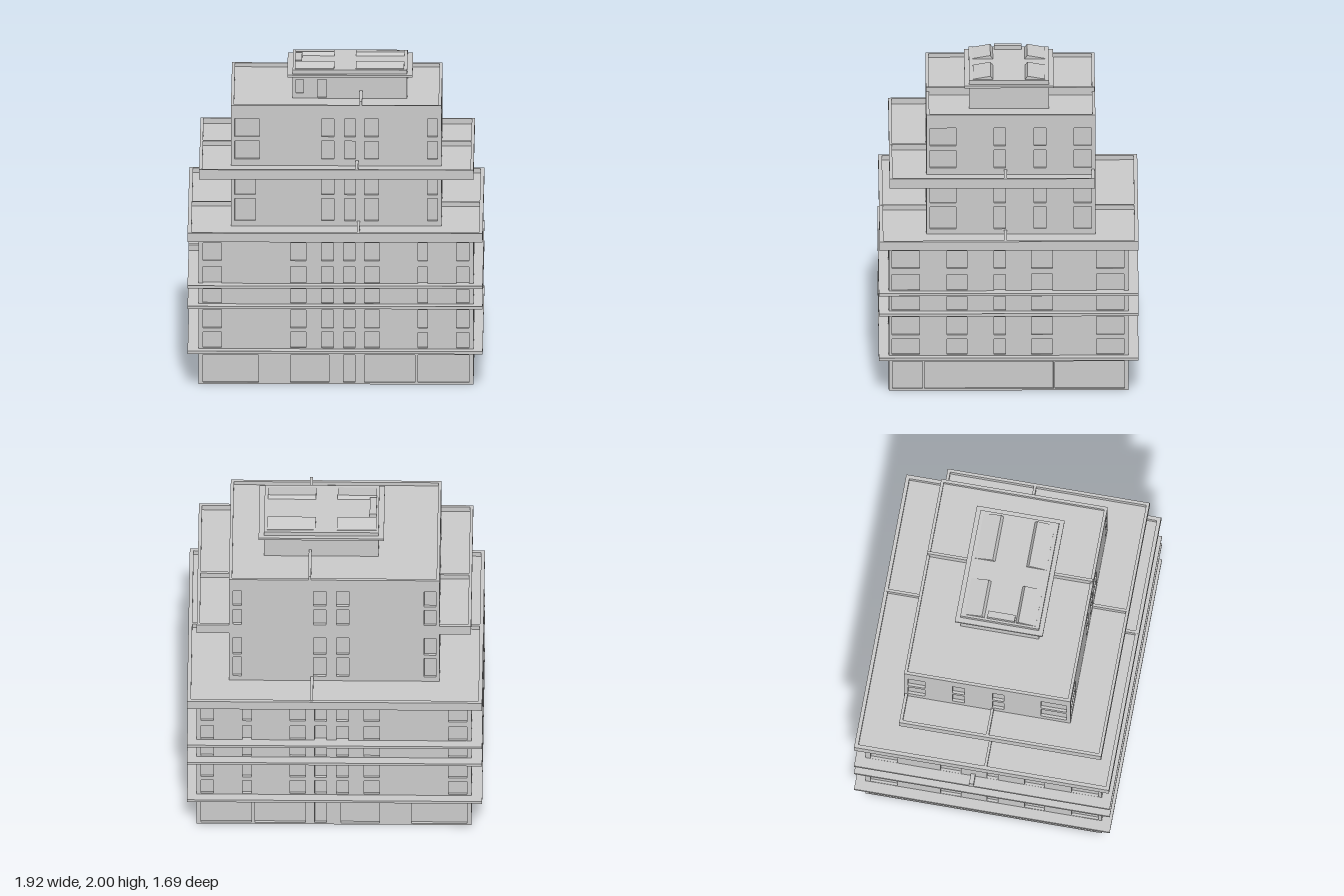
import * as THREE from 'three';

const grey = new THREE.MeshStandardMaterial({ color: 0xcccccc, flatShading: true });
const T = 0.018; // depth of window recesses

function add(parent, name, geometry) {
  const mesh = new THREE.Mesh(geometry, grey);
  mesh.name = name;
  parent.add(mesh);
  return mesh;
}

// Box given by its extents
function box(parent, name, [x0, x1], [y0, y1], [z0, z1]) {
  const mesh = add(parent, name, new THREE.BoxGeometry(x1 - x0, y1 - y0, z1 - z0));
  mesh.position.set((x0 + x1) / 2, (y0 + y1) / 2, (z0 + z1) / 2);
  return mesh;
}

function trace(path, a0, a1, b0, b1) {
  path.moveTo(a0, b0);
  path.lineTo(a1, b0);
  path.lineTo(a1, b1);
  path.lineTo(a0, b1);
  path.closePath();
  return path;
}

// Rectangular rim running around an area
function rim(parent, name, [x0, x1], [y0, y1], [z0, z1], w) {
  const shape = trace(new THREE.Shape(), x0, x1, -z1, -z0);
  shape.holes.push(trace(new THREE.Path(), x0 + w, x1 - w, -z1 + w, -z0 - w));
  const geometry = new THREE.ExtrudeGeometry(shape, { depth: y1 - y0, bevelEnabled: false });
  geometry.rotateX(-Math.PI / 2);
  add(parent, name, geometry).position.y = y0;
}

// Slab with a raised parapet
function terrace(parent, name, xs, [y0, floor, y1], zs, w) {
  const group = new THREE.Group();
  group.name = name;
  box(group, 'terraceFloor', xs, [y0, floor], zs);
  rim(group, 'parapet', xs, [floor, y1], zs, w);
  parent.add(group);
}

// Wall with openings; openings are [u0, u1, y0, y1] in x (front, back) or z (sides)
function wall(parent, side, [x0, x1], [y0, y1], [z0, z1], openings) {
  const along = side === 'front' || side === 'back';
  const sign = side === 'front' || side === 'left' ? 1 : -1;
  const flip = side === 'front' || side === 'right' ? 1 : -1;
  // local u equals x on the front, -x on the back, -z at +x and z at -x
  const s = { front: 1, back: -1, left: -1, right: 1 }[side];
  const [a, b] = along ? [x0, x1] : [z0 + T, z1 - T];
  const span = (p, q) => [Math.min(s * p, s * q), Math.max(s * p, s * q)];
  const shape = trace(new THREE.Shape(), ...span(a, b), y0, y1);
  for (const [p, q, h0, h1] of openings) shape.holes.push(trace(new THREE.Path(), ...span(p, q), h0, h1));
  const mesh = add(parent, side + 'Wall', new THREE.ExtrudeGeometry(shape, { depth: T, bevelEnabled: false }));
  mesh.rotation.y = { front: 0, back: Math.PI, left: Math.PI / 2, right: -Math.PI / 2 }[side];
  if (along) mesh.position.z = sign > 0 ? z1 - T : z0 + T;
  else mesh.position.x = flip < 0 ? x1 - T : x0 + T;
}

const grid = (columns, rows) => columns.flatMap(c => rows.map(r => [...c, ...r]));

// Storey block: solid core clad with four pierced walls
function block(parent, name, xs, ys, zs, openings) {
  const group = new THREE.Group();
  group.name = name;
  box(group, 'core', [xs[0] + T, xs[1] - T], ys, [zs[0] + T, zs[1] - T]);
  for (const side of ['front', 'back', 'left', 'right']) wall(group, side, xs, ys, zs, openings[side]);
  parent.add(group);
}

export function createModel() {
  const model = new THREE.Group();
  model.name = 'building';

  // Lower block with shopfronts and five rows of windows
  const shop = [[0.012, 0.197]];
  const lowRows = [[0.245, 0.35], [0.378, 0.5], [0.545, 0.64], [0.68, 0.79], [0.83, 0.95]];
  const lowFront = grid([[-0.86, -0.74], [-0.29, -0.19], [-0.09, -0.01], [0.055, 0.13],
    [0.19, 0.29], [0.54, 0.6], [0.79, 0.87]], lowRows);
  const lowSide = grid([[0.58, 0.76], [0.27, 0.4], [0.02, 0.095], [-0.285, -0.15], [-0.75, -0.57]], lowRows);
  const shopFront = grid([[-0.86, -0.5], [-0.29, -0.04], [0.055, 0.13], [0.19, 0.52], [0.54, 0.87]], shop);
  const shopSide = grid([[0.56, 0.755], [-0.29, 0.548], [-0.755, -0.302]], shop);
  block(model, 'lowerBlock', [-0.89, 0.9], [0, 0.98], [-0.78, 0.78], {
    front: [...shopFront, ...lowFront], back: [...shopFront, ...lowFront],
    left: [...shopSide, ...lowSide], right: [...shopSide, ...lowSide],
  });

  // Thin ledges between the lower storeys
  for (const y of [0.22, 0.522, 0.66]) box(model, 'ledge', [-0.96, 0.96], [y, y + 0.018], [-0.845, 0.845]);
  box(model, 'ledgeDivider', [-0.96, -0.88], [0.67, 0.715], [-0.085, -0.055]);

  // Main terrace, and balcony around three sides
  terrace(model, 'mainTerrace', [-0.96, 0.96], [0.97, 1.0, 1.03], [-0.845, 0.84], 0.025);
  terrace(model, 'balcony', [-0.885, 0.9], [1.375, 1.405, 1.44], [-0.56, 0.775], 0.02);

  // Upper block with four rows of windows
  const upRows = [[1.035, 1.185], [1.21, 1.345], [1.45, 1.57], [1.6, 1.72]];
  const upSide = grid([[0.34, 0.51], [0.02, 0.095], [-0.245, -0.165], [-0.54, -0.425]], upRows);
  block(model, 'upperBlock', [-0.68, 0.69], [0.99, 1.775], [-0.565, 0.535], {
    front: [...grid([[-0.655, -0.52]], upRows.slice(0, 2)), ...grid([[-0.655, -0.495]], upRows.slice(2)),
      ...grid([[-0.09, -0.01], [0.06, 0.13], [0.19, 0.28], [0.6, 0.665]], upRows)],
    back: grid([[-0.655, -0.58], [-0.09, -0.01], [0.06, 0.14], [0.61, 0.665]], upRows),
    left: upSide, right: upSide,
  });
  terrace(model, 'roofTerrace', [-0.68, 0.69], [1.77, 1.785, 1.81], [-0.565, 0.535], 0.02);

  // Low divider walls on the terraces
  const d = 0.009;
  const across = (x, ys, zs) => box(model, 'terraceDivider', [x - d, x + d], ys, zs);
  const along = (xs, ys, z) => box(model, 'terraceDivider', xs, ys, [z - d, z + d]);
  across(0.15, [0.99, 1.032], [0.52, 0.83]);
  across(0.15, [0.99, 1.032], [-0.83, -0.55]);
  along([-0.94, -0.67], [0.99, 1.028], 0.02);
  along([0.68, 0.94], [0.99, 1.028], 0.02);
  across(0.14, [1.39, 1.442], [0.52, 0.765]);
  along([-0.875, -0.67], [1.39, 1.438], 0.02);
  along([0.68, 0.89], [1.39, 1.438], 0.02);
  across(0.165, [1.78, 1.838], [0.25, 0.533]);
  across(0.165, [1.78, 1.838], [-0.563, -0.25]);

  // Rooftop penthouse with eaves
  const pane = [[-0.26, -0.21, 1.82, 1.91], [-0.12, -0.06, 1.79, 1.91]];
  block(model, 'penthouse', [-0.28, 0.465], [1.78, 1.975], [-0.265, 0.255],
    { front: pane, back: [], left: [], right: [] });
  box(model, 'eaves', [-0.315, 0.5], [1.933, 1.948], [-0.295, 0.285]);

  // Sloped skylights and vent on the penthouse roof
  for (const [x0, x1] of [[-0.265, -0.01], [0.13, 0.445]]) {
    for (const side of [-1, 1]) {
      const shape = new THREE.Shape([[0.235, 1.97], [0.235, 1.978], [0.12, 1.998], [0.1, 1.97]]
        .map(([z, y]) => new THREE.Vector2(-side * z, y)));
      const geometry = new THREE.ExtrudeGeometry(shape, { depth: x1 - x0, bevelEnabled: false });
      geometry.rotateY(Math.PI / 2);
      add(model, 'skylight', geometry).position.set(x0, 0, -0.005);
    }
  }
  box(model, 'roofVent', [-0.265, -0.22], [1.97, 2], [-0.09, 0.09]);
  return model;
}
